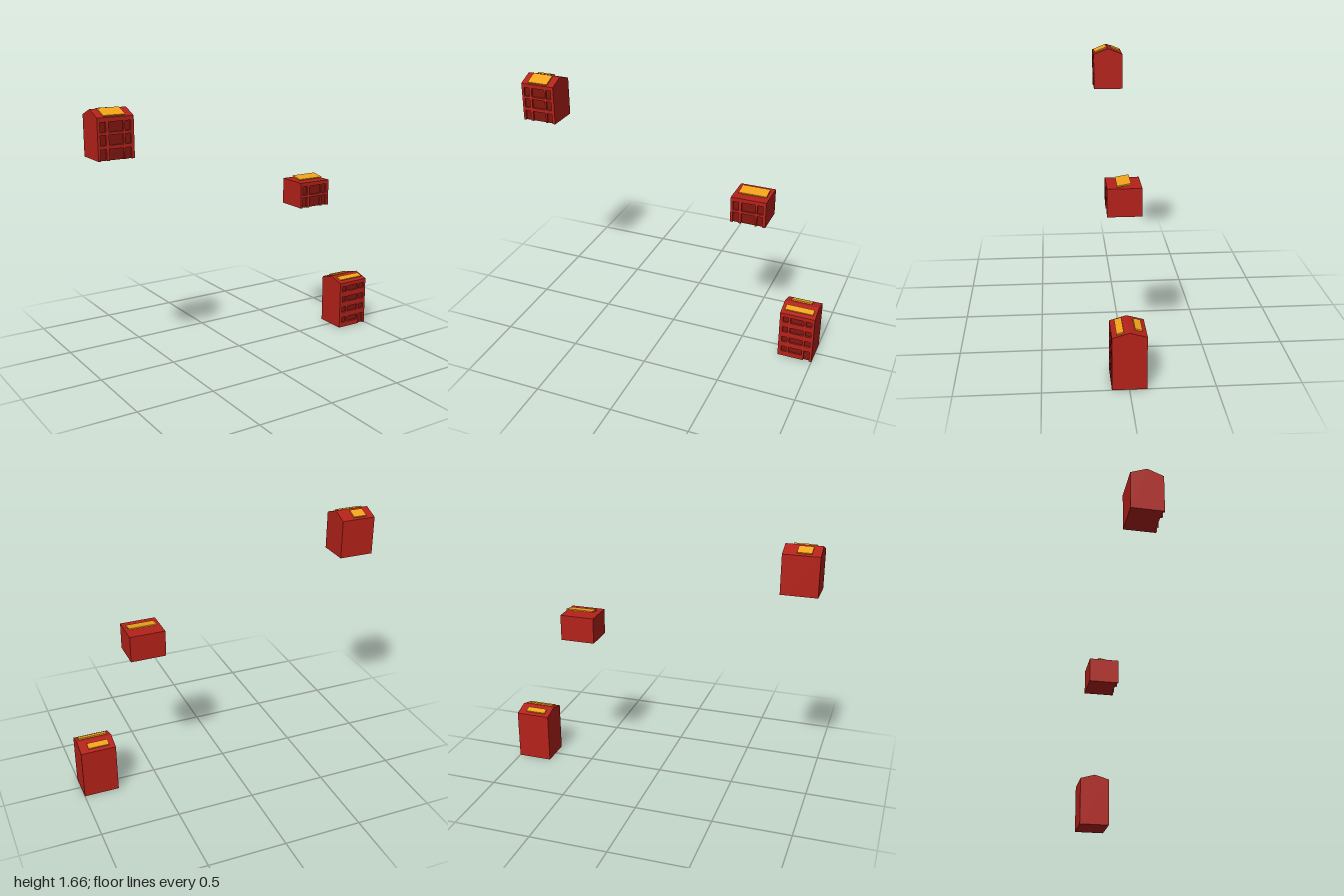
import * as THREE from 'three';

const W = 0.226, HALF = 0.101, RECESS = 0.012, LIP = 0.008;
const brick = new THREE.MeshStandardMaterial({ color: 0xb5221a, flatShading: true });
const glass = new THREE.MeshStandardMaterial({ color: 0x82170f, flatShading: true });
const gold = new THREE.MeshStandardMaterial({ color: 0xf2a31a, flatShading: true });

function add(group, name, geometry, material) {
  const mesh = new THREE.Mesh(geometry, material);
  mesh.name = name;
  group.add(mesh);
  return mesh;
}

// Window opening with slightly rounded corners
function opening([x0, x1], [y0, y1], r = 0.004) {
  const p = new THREE.Path();
  p.absarc(x1 - r, y1 - r, r, 0, Math.PI / 2);
  p.absarc(x0 + r, y1 - r, r, Math.PI / 2, Math.PI);
  p.absarc(x0 + r, y0 + r, r, Math.PI, Math.PI * 1.5);
  p.absarc(x1 - r, y0 + r, r, Math.PI * 1.5, Math.PI * 2);
  p.closePath();
  return p;
}

// Thin slab on the roof, from its back edge to its front edge as [z, y]
function roofPanel(group, name, [x0, x1], [zb, yb], [zf, yf]) {
  const dz = zf - zb, dy = yf - yb;
  const mesh = add(group, name, new THREE.BoxGeometry(x1 - x0, 0.008, Math.hypot(dz, dy)), gold);
  mesh.position.set((x0 + x1) / 2, (yb + yf) / 2, (zb + zf) / 2);
  mesh.rotation.x = Math.atan2(-dy, dz);
}

function building({ name, x, y, eave, ridge, cols, rows, doors, panels }) {
  const g = new THREE.Group();
  g.name = name;
  g.position.set(x, y, 0);

  // Main block: gabled side profile swept across the width
  const back = HALF - RECESS;
  const profile = new THREE.Shape([
    [-HALF, 0], [back, 0], [back, eave - LIP], [HALF, eave - LIP],
    [HALF, eave], [0, ridge], [-HALF, eave],
  ].map(([a, b]) => new THREE.Vector2(a, b)));
  const block = new THREE.ExtrudeGeometry(profile, { depth: W, bevelEnabled: false });
  block.rotateY(-Math.PI / 2).translate(W, 0, 0);
  add(g, 'walls', block, brick);

  // Front wall, with openings cut to the ground for doors and holes for windows
  const wall = new THREE.Shape();
  wall.moveTo(0, 0);
  for (const [[x0, x1], top] of doors) {
    wall.lineTo(x0, 0);
    wall.lineTo(x0, top);
    wall.lineTo(x1, top);
    wall.lineTo(x1, 0);
  }
  wall.lineTo(W, 0);
  wall.lineTo(W, eave - LIP);
  wall.lineTo(0, eave - LIP);
  wall.closePath();
  rows.forEach((row) => cols.forEach((col) => {
    const taken = doors.some(([d, top]) => d === col && row[0] < top);
    if (!taken) wall.holes.push(opening(col, row));
  }));
  const facade = new THREE.ExtrudeGeometry(wall, { depth: RECESS, bevelEnabled: false, curveSegments: 3 });
  add(g, 'facade', facade.translate(0, 0, back), brick);

  // Dark panes seen through the openings
  const panes = new THREE.PlaneGeometry(W - 0.004, eave - LIP - 0.002);
  add(g, 'windowPanes', panes.translate(W / 2, (eave - LIP) / 2, back + 0.001), glass);

  panels.forEach((p, i) => roofPanel(g, 'roofPanel' + (i + 1), ...p));
  return g;
}

export function createModel() {
  const model = new THREE.Group();
  model.name = 'buildings';
  const wide = [[0.016, 0.052], [0.07, 0.16], [0.171, 0.207]];
  const narrow = [[0.021, 0.056], [0.07, 0.158], [0.171, 0.209]];

  model.add(building({
    name: 'middleHouse', x: -1, y: 1.372, eave: 0.247, ridge: 0.286, cols: wide,
    rows: [[0.163, 0.221], [0.088, 0.147]],
    doors: wide.map((c) => [c, 0.066]),
    panels: [
      [[0.042, 0.178], [0.009, 0.287], [0.092, 0.254]],
      [[0.053, 0.141], [-0.086, 0.258], [-0.024, 0.283]],
    ],
  }));
  model.add(building({
    name: 'lowHouse', x: 0.417, y: 0.915, eave: 0.17, ridge: 0.17, cols: wide,
    rows: [[0.085, 0.144]],
    doors: wide.map((c) => [c, 0.069]),
    panels: [[[0.031, 0.209], [-0.038, 0.192], [0.043, 0.178]]],
  }));
  model.add(building({
    name: 'tallHouse', x: 0.774, y: 0, eave: 0.327, ridge: 0.356, cols: narrow,
    rows: [0, 1, 2, 3].map((i) => [0.034 + i * 0.076, 0.073 + i * 0.076]),
    doors: [[narrow[2], 0.073]],
    panels: [
      [[0.022, 0.206], [0.032, 0.352], [0.073, 0.34]],
      [[0.036, 0.171], [-0.076, 0.339], [-0.034, 0.351]],
    ],
  }));
  return model;
}
